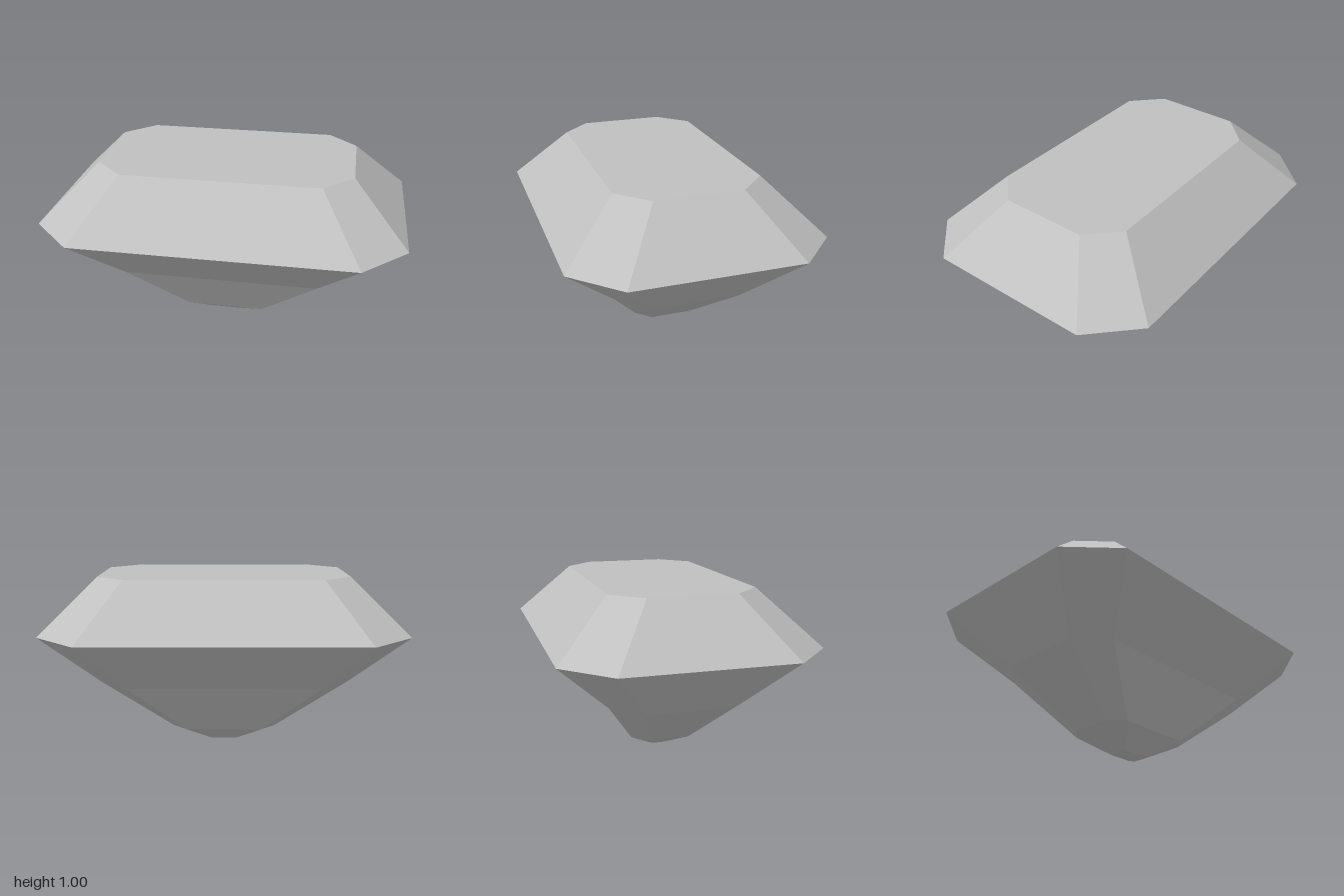
import * as THREE from 'three';

// Cut-corner rectangle, counterclockwise seen from above
function ring([y, hx, hz, cut]) {
  const ix = hx - cut, iz = hz - cut;
  return [
    [hx, -iz], [ix, -hz], [-ix, -hz], [-hx, -iz],
    [-hx, iz], [-ix, hz], [ix, hz], [hx, iz],
  ].map(([x, z]) => new THREE.Vector3(x, y, z));
}

// Faceted surface from triangles with their own corners
function facets(name, triangles, material) {
  const geometry = new THREE.BufferGeometry().setFromPoints(triangles);
  geometry.computeVertexNormals();
  const mesh = new THREE.Mesh(geometry, material);
  mesh.name = name;
  return mesh;
}

// Band of facets joining a lower ring to an upper ring
function band(lower, upper) {
  return lower.flatMap((a, i) => {
    const j = (i + 1) % lower.length;
    return [a, lower[j], upper[j], a, upper[j], upper[i]];
  });
}

// Flat cap facing up or down
function cap(points, up) {
  const p = up ? points : [...points].reverse();
  const out = [];
  for (let i = 1; i < p.length - 1; i++) out.push(p[0], p[i], p[i + 1]);
  return out;
}

export function createModel() {
  const group = new THREE.Group();
  group.name = 'emeraldCutGem';
  const stone = new THREE.MeshStandardMaterial({ color: 0xc0c0c0 });
  stone.name = 'pale grey stone';

  // Levels from the base up: height, half width, half depth, corner cut
  const [base, low, middle, girdle, top] = [
    [0, 0.1, 0.06, 0.024],
    [0.1, 0.3, 0.2, 0.08],
    [0.4, 0.7, 0.4, 0.16],
    [0.7, 1, 0.7, 0.24],
    [1, 0.7, 0.4, 0.16],
  ].map(ring);

  group.add(
    facets('culet', cap(base, false), stone),
    facets('lowerPavilion', band(base, low), stone),
    facets('middlePavilion', band(low, middle), stone),
    facets('upperPavilion', band(middle, girdle), stone),
    facets('crown', band(girdle, top), stone),
    facets('table', cap(top, true), stone),
  );
  return group;
}
